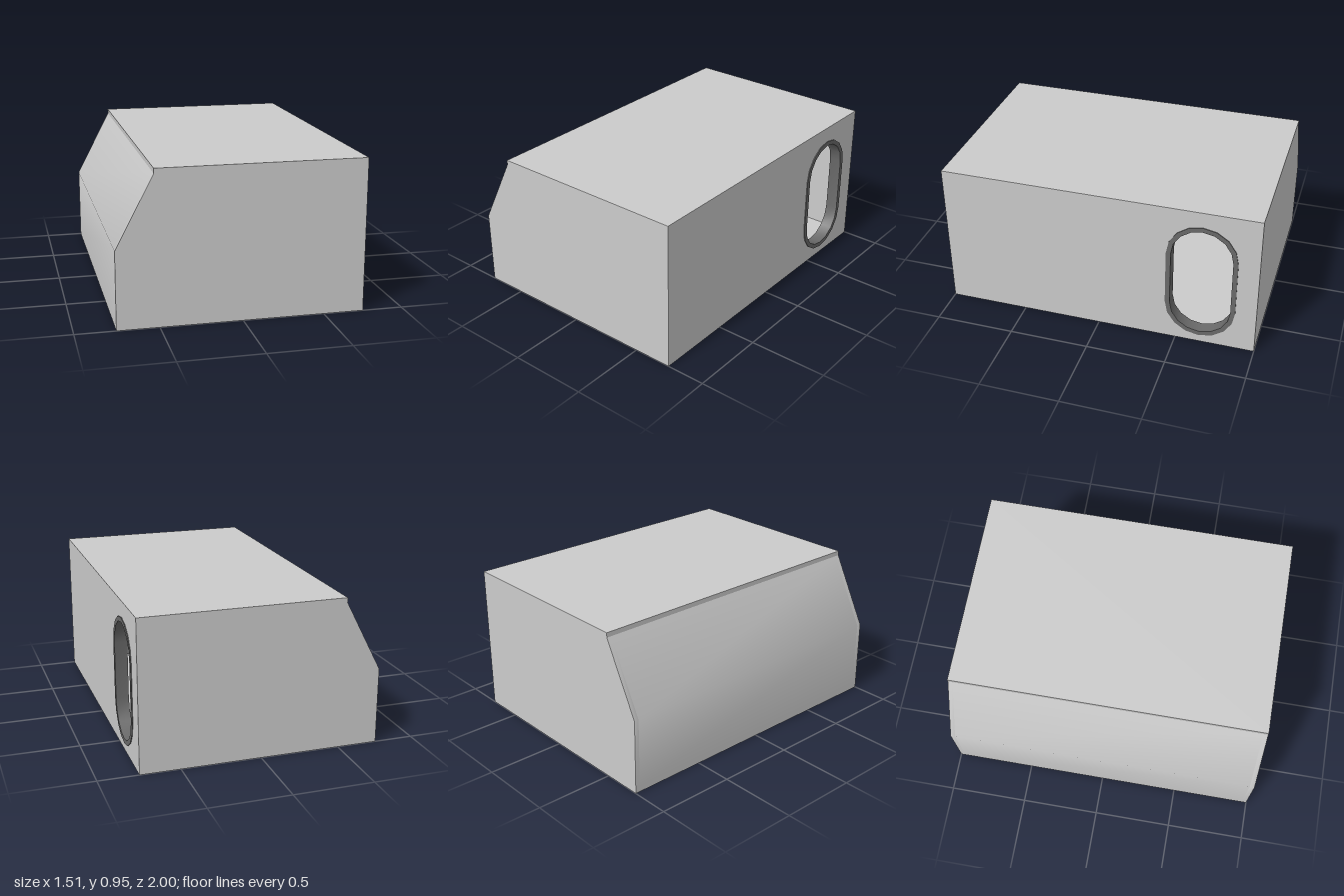
import * as THREE from 'three';
import { toCreasedNormals } from 'three/addons/utils/BufferGeometryUtils.js';

const HALF = 1, WALL = 0.03, LEFT = 0.75, RIGHT = -0.755, FLOOR = 0.03, ROOF = 0.92;
const TOP = 0.95, ROOF_EDGE = -0.525, BEND = 0.48;
const grey = new THREE.MeshStandardMaterial({ color: 0xcccccc, side: THREE.DoubleSide });
const dark = new THREE.MeshStandardMaterial({ color: 0x6a6a6a });

const polygon = (pts) => new THREE.Shape(pts.map(([x, y]) => new THREE.Vector2(x, y)));

// Upright slot outline: two faceted half circles joined by straight sides
function slot(target, radius) {
  const cx = 0.65, cy = 0.45, h = 0.18;
  target.absarc(cx, cy + h, radius, 0, Math.PI, false);
  target.absarc(cx, cy - h, radius, Math.PI, 2 * Math.PI, false);
  target.closePath();
  return target;
}

function extrude(shape, depth) {
  return new THREE.ExtrudeGeometry(shape, { depth, bevelEnabled: false, curveSegments: 4 });
}

export function createModel() {
  const group = new THREE.Group();
  const add = (name, geometry, material = grey) => {
    const mesh = new THREE.Mesh(toCreasedNormals(geometry, 0.7), material);
    mesh.name = name;
    group.add(mesh);
  };
  const plate = (name, x0, x1, y0, y1) => add(name,
    new THREE.BoxGeometry(x1 - x0, y1 - y0, 2 * HALF).translate((x0 + x1) / 2, (y0 + y1) / 2, 0));

  // Floor and roof
  plate('floor', RIGHT, LEFT, 0, FLOOR);
  plate('roof', ROOF_EDGE, LEFT, ROOF, TOP);

  // End panels with the sloped corner
  const end = polygon([[RIGHT, FLOOR], [LEFT, FLOOR], [LEFT, ROOF], [ROOF_EDGE, ROOF], [RIGHT, BEND]]);
  add('frontPanel', extrude(end, WALL).translate(0, 0, HALF - WALL));
  add('backPanel', extrude(end, WALL).translate(0, 0, -HALF));

  // Bent side wall, softly shaded across the bend
  const bent = polygon([
    [RIGHT, FLOOR], [RIGHT + WALL, FLOOR], [RIGHT + WALL, BEND - 0.007],
    [ROOF_EDGE + 0.034, ROOF], [ROOF_EDGE, ROOF], [RIGHT, BEND],
  ]);
  const span = 2 * (HALF - WALL);
  add('slopedWall', extrude(bent, span).translate(0, 0, -span / 2));

  // Straight side wall with the slot opening
  const w = HALF - WALL;
  const wall = polygon([[-w, FLOOR], [w, FLOOR], [w, ROOF], [-w, ROOF]]);
  wall.holes.push(slot(new THREE.Path(), 0.205));
  add('openingWall', extrude(wall, WALL).rotateY(Math.PI / 2).translate(LEFT - WALL, 0, 0));

  // Dark rim lining the opening
  const rim = slot(new THREE.Shape(), 0.22);
  rim.holes.push(slot(new THREE.Path(), 0.19));
  add('openingRim', extrude(rim, 0.08).rotateY(Math.PI / 2).translate(0.675, 0, 0), dark);

  return group;
}
